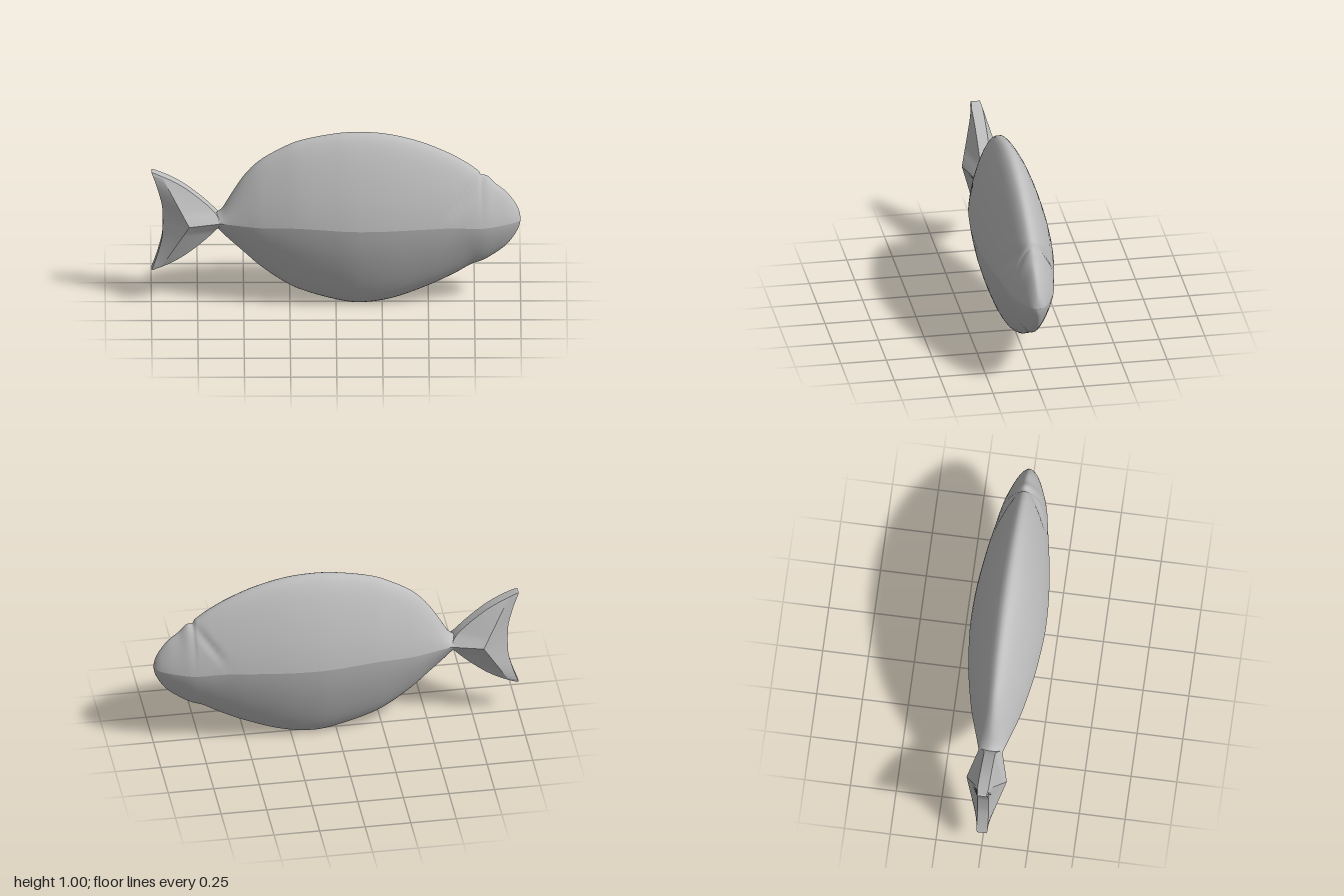
import * as THREE from 'three';
import { toCreasedNormals } from 'three/addons/utils/BufferGeometryUtils.js';

// Smooth curve y(x) through [x, y] points
function profile(pts) {
  const n = pts.length;
  const slope = (i) => {
    const a = pts[Math.max(i - 1, 0)], b = pts[Math.min(i + 1, n - 1)];
    return (b[1] - a[1]) / (b[0] - a[0]);
  };
  return (x) => {
    let i = 0;
    while (i < n - 2 && x > pts[i + 1][0]) i++;
    const [x0, y0] = pts[i], [x1, y1] = pts[i + 1];
    const h = x1 - x0, t = THREE.MathUtils.clamp((x - x0) / h, 0, 1), u = 1 - t;
    return y0 * (1 + 2 * t) * u * u + slope(i) * h * t * u * u
      + y1 * t * t * (3 - 2 * t) - slope(i + 1) * h * t * t * u;
  };
}

// Skin a grid of points given as rows
function skin(rows, flip = false) {
  const m = rows[0].length, index = [];
  for (let i = 0; i < rows.length - 1; i++) {
    for (let j = 0; j < m - 1; j++) {
      const a = i * m + j, b = a + 1, c = a + m, d = c + 1;
      if (flip) index.push(a, b, c, b, d, c);
      else index.push(a, c, b, b, c, d);
    }
  }
  const g = new THREE.BufferGeometry();
  g.setAttribute('position', new THREE.Float32BufferAttribute(rows.flat(2), 3));
  g.setIndex(index);
  g.computeVertexNormals();
  return g;
}

// Body outlines along x
const back = profile([[-0.66, 0.52], [-0.62, 0.55], [-0.595, 0.59], [-0.567, 0.64], [-0.5, 0.745],
  [-0.42, 0.83], [-0.3, 0.905], [-0.2, 0.95], [0, 0.992], [0.13, 1], [0.28, 0.988], [0.45, 0.945],
  [0.6, 0.882], [0.7, 0.825], [0.755, 0.785], [0.775, 0.768], [0.78, 0.752], [0.82, 0.742],
  [0.86, 0.7], [0.92, 0.65], [0.96, 0.6], [0.985, 0.555], [0.996, 0.52], [1, 0.488]]);
const belly = profile([[-0.66, 0.46], [-0.6, 0.395], [-0.5, 0.3], [-0.42, 0.225], [-0.3, 0.135],
  [-0.2, 0.08], [0, 0.018], [0.13, 0], [0.3, 0.025], [0.5, 0.1], [0.65, 0.175], [0.73, 0.223],
  [0.8, 0.25], [0.87, 0.295], [0.92, 0.335], [0.96, 0.385], [0.985, 0.43], [0.996, 0.46], [1, 0.488]]);
const halfWidth = profile([[-0.66, 0.058], [-0.6, 0.075], [-0.5, 0.107], [-0.4, 0.137], [-0.2, 0.178],
  [0, 0.2], [0.13, 0.205], [0.3, 0.197], [0.5, 0.172], [0.65, 0.146], [0.8, 0.118], [0.9, 0.083],
  [0.96, 0.054], [0.99, 0.03], [1, 0.01]]);
const ridgeHeight = profile([[-0.66, 0.49], [-0.4, 0.495], [-0.2, 0.51], [0.1, 0.502], [0.6, 0.5],
  [0.8, 0.482], [1, 0.488]]);

// Half cross-section: [height fraction, width fraction] from side ridge to edge
const section = [[0, 1], [0.1, 0.965], [0.2, 0.915], [0.3, 0.86], [0.4, 0.79], [0.5, 0.715],
  [0.6, 0.63], [0.7, 0.535], [0.8, 0.43], [0.88, 0.325], [0.94, 0.23], [0.98, 0.14], [1, 0.06]];
const arch = [...section, [1, 0],
  ...section.slice().reverse().map(([h, w]) => [h, -w])];

// Shallow slanted gill groove behind the head
function groove(x, y) {
  const d = (x - (0.62 + 0.8 * (y - 0.55))) / 0.028;
  return 1 - 0.13 * Math.exp(-d * d) * THREE.MathUtils.smoothstep(y, 0.52, 0.7);
}

function bodyHalf(outline, flip) {
  const rows = [], steps = 170;
  for (let i = 0; i <= steps; i++) {
    const x = -0.66 + 1.66 * Math.sin((i / steps) * Math.PI / 2);
    const mid = ridgeHeight(x), edge = outline(x), w = halfWidth(x);
    rows.push(arch.map(([h, f]) => {
      const y = mid + (edge - mid) * h;
      return [x, y, w * f * groove(x, y)];
    }));
  }
  return skin(rows, flip);
}

// Tail fin: a forked, faceted wedge, stacked from lower tip to upper tip
function tailFin() {
  const lead = profile([[0, -0.62], [0.04, -0.645], [0.1, -0.7], [0.2, -0.82], [0.25, -0.905], [0.288, -0.99]]);
  const trail = profile([[0, -0.938], [0.09, -0.942], [0.18, -0.963], [0.25, -0.985], [0.288, -1]]);
  const rows = [], steps = 32;
  for (let i = 0; i <= steps; i++) {
    const k = (i / steps) * 2 - 1, d = Math.abs(k) * 0.288, y = 0.488 + k * 0.288;
    const xl = lead(d), xt = trail(d);
    const xr = THREE.MathUtils.clamp(-0.795 - 0.56 * d, xt + 0.002, xl - 0.002);
    const zr = 0.11 - 0.085 * d / 0.288;
    const zl = Math.min(zr, 0.03 + 0.032 * Math.max(0, 1 - d / 0.06)), zt = Math.min(zr, 0.03);
    const ring = [[xt, -zt], [xt, zt], [xr, zr], [xl, zl], [xl, -zl], [xr, -zr], [xt, -zt]];
    rows.push(ring.map(([x, z]) => [x, y, z]));
  }
  // Close both tips
  const cap = (row) => row.map(() => [-0.995, row[0][1], 0]);
  rows.unshift(cap(rows[0]));
  rows.push(cap(rows[rows.length - 1]));
  return toCreasedNormals(skin(rows, true), 0.3);
}

export function createModel() {
  const model = new THREE.Group();
  model.name = 'fish';
  const grey = new THREE.MeshStandardMaterial({ color: 0xbebebe });
  grey.name = 'plain grey';
  grey.side = THREE.DoubleSide;

  const add = (name, geometry) => {
    const mesh = new THREE.Mesh(geometry, grey);
    mesh.name = name;
    model.add(mesh);
  };
  add('upperBody', bodyHalf(back, false));
  add('lowerBody', bodyHalf(belly, true));
  add('tailFin', tailFin());
  return model;
}
